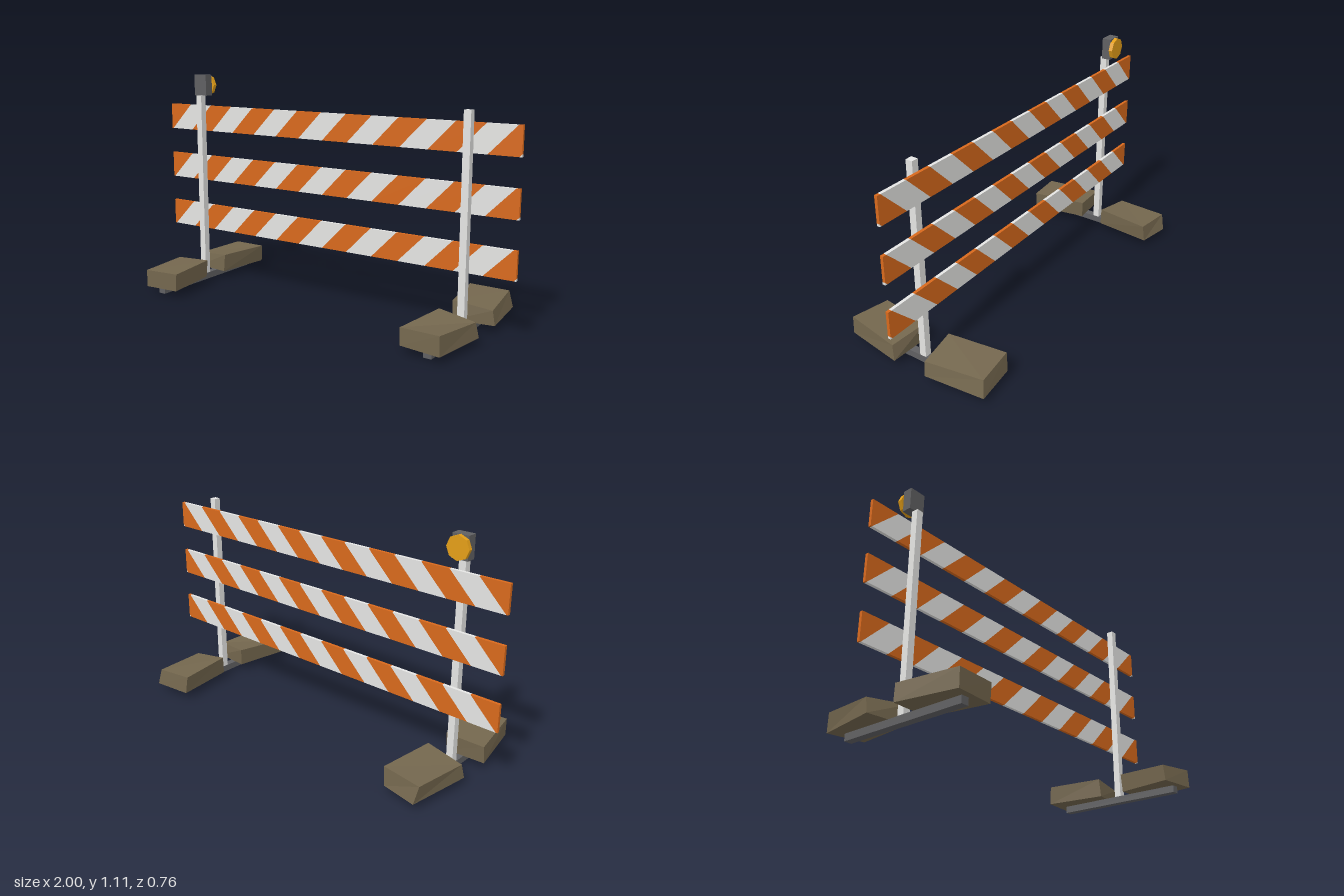
import * as THREE from 'three';

const mat = (name, color) => {
  const m = new THREE.MeshStandardMaterial({ color });
  m.name = name;
  return m;
};

// Keep the part of a polygon where side * x <= 1
function clip(points, side) {
  const out = [];
  points.forEach((p, i) => {
    const q = points[(i + 1) % points.length];
    const pin = side * p.x <= 1, qin = side * q.x <= 1;
    if (pin) out.push(p);
    if (pin !== qin) out.push(p.clone().lerp(q, (side - p.x) / (q.x - p.x)));
  });
  return out;
}

// Slanted 45 degree stripes of one colour, cut off at the plank ends
function stripeShapes(parity, height) {
  const w = 0.1415, shapes = [];
  for (let k = parity; k < 16; k += 2) {
    const a = -1 + k * w;
    let pts = [[a - height, 0], [a - height + w, 0], [a + w, height], [a, height]]
      .map(([x, y]) => new THREE.Vector2(x, y));
    pts = clip(clip(pts, 1), -1);
    if (pts.length > 2) shapes.push(new THREE.Shape(pts));
  }
  return shapes;
}

// Lopsided sandbag: a box whose corners move to the given points.
// Corner order: (-x,-z), (+x,-z), (+x,+z), (-x,+z); bottom as [x, z], top as [x, z, y]
function bagGeometry(bottom, top) {
  const geo = new THREE.BoxGeometry(1, 1, 1).toNonIndexed();
  const p = geo.attributes.position;
  for (let i = 0; i < p.count; i++) {
    const right = p.getX(i) > 0, front = p.getZ(i) > 0;
    const c = front ? (right ? 2 : 3) : (right ? 1 : 0);
    const [x, z, y = 0.035] = p.getY(i) > 0 ? top[c] : bottom[c];
    p.setXYZ(i, x, y, z);
  }
  geo.computeVertexNormals();
  return geo;
}

export function createModel() {
  const model = new THREE.Group();
  model.name = 'roadBarricade';
  const orange = mat('orange', 0xd8691c);
  const white = mat('white', 0xe5e5e3);
  const steel = mat('darkGrey', 0x606062);
  const amber = mat('amber', 0xe39e18);
  const canvas = mat('sandbagBrown', 0x74674e);

  const add = (name, geo, material, x = 0, y = 0, z = 0, parent = model) => {
    const mesh = new THREE.Mesh(geo, material);
    mesh.name = name;
    mesh.position.set(x, y, z);
    parent.add(mesh);
    return mesh;
  };

  // Striped planks
  const height = 0.134;
  const extrude = { depth: 0.015, bevelEnabled: false };
  [0.281, 0.548, 0.815].forEach((y) => {
    const plank = new THREE.Group();
    plank.name = 'plank';
    plank.position.set(0, y, -0.0235);
    model.add(plank);
    [orange, white].forEach((m, i) =>
      add(m.name + 'Stripes', new THREE.ExtrudeGeometry(stripeShapes(i, height), extrude), m, 0, 0, 0, plank));
  });

  // Posts and feet
  for (const s of [-1, 1]) {
    add('post', new THREE.BoxGeometry(0.034, 0.968, 0.034), white, s * 0.766, 0.518, 0.0095);
    add('footBar', new THREE.BoxGeometry(0.038, 0.034, 0.667), steel, s * 0.766, 0.017, 0.0085);
  }

  // Warning lamp on the right post, lens facing the back
  add('lampHousing', new THREE.BoxGeometry(0.08, 0.108, 0.047), steel, -0.77, 1.056, -0.0155);
  const lens = add('lampLens', new THREE.CylinderGeometry(0.055, 0.055, 0.02, 8).toNonIndexed(), amber, -0.77, 1.056, -0.048);
  lens.geometry.computeVertexNormals();
  lens.rotation.x = Math.PI / 2;

  // Sandbags weighing down the feet
  add('sandbagBackRight', bagGeometry(
    [[-0.834, -0.382], [-0.66, -0.35], [-0.69, -0.055], [-0.885, -0.07]],
    [[-0.848, -0.362, 0.118], [-0.65, -0.342, 0.125], [-0.685, -0.06, 0.127], [-0.88, -0.088, 0.108]]), canvas);
  add('sandbagBackLeft', bagGeometry(
    [[0.65, -0.36], [0.852, -0.382], [0.883, -0.085], [0.69, -0.055]],
    [[0.642, -0.35, 0.125], [0.835, -0.37, 0.118], [0.872, -0.082, 0.106], [0.685, -0.062, 0.127]]), canvas);
  add('sandbagFrontRight', bagGeometry(
    [[-0.89, 0.088], [-0.7, 0.075], [-0.648, 0.36], [-0.835, 0.377]],
    [[-0.885, 0.085, 0.118], [-0.695, 0.07, 0.125], [-0.642, 0.36, 0.125], [-0.835, 0.377, 0.122]]), canvas);
  add('sandbagFrontLeft', bagGeometry(
    [[0.69, 0.08], [0.883, 0.09], [0.84, 0.382], [0.645, 0.358]],
    [[0.685, 0.075, 0.126], [0.873, 0.105, 0.108], [0.838, 0.38, 0.125], [0.64, 0.352, 0.113]]), canvas);

  return model;
}
